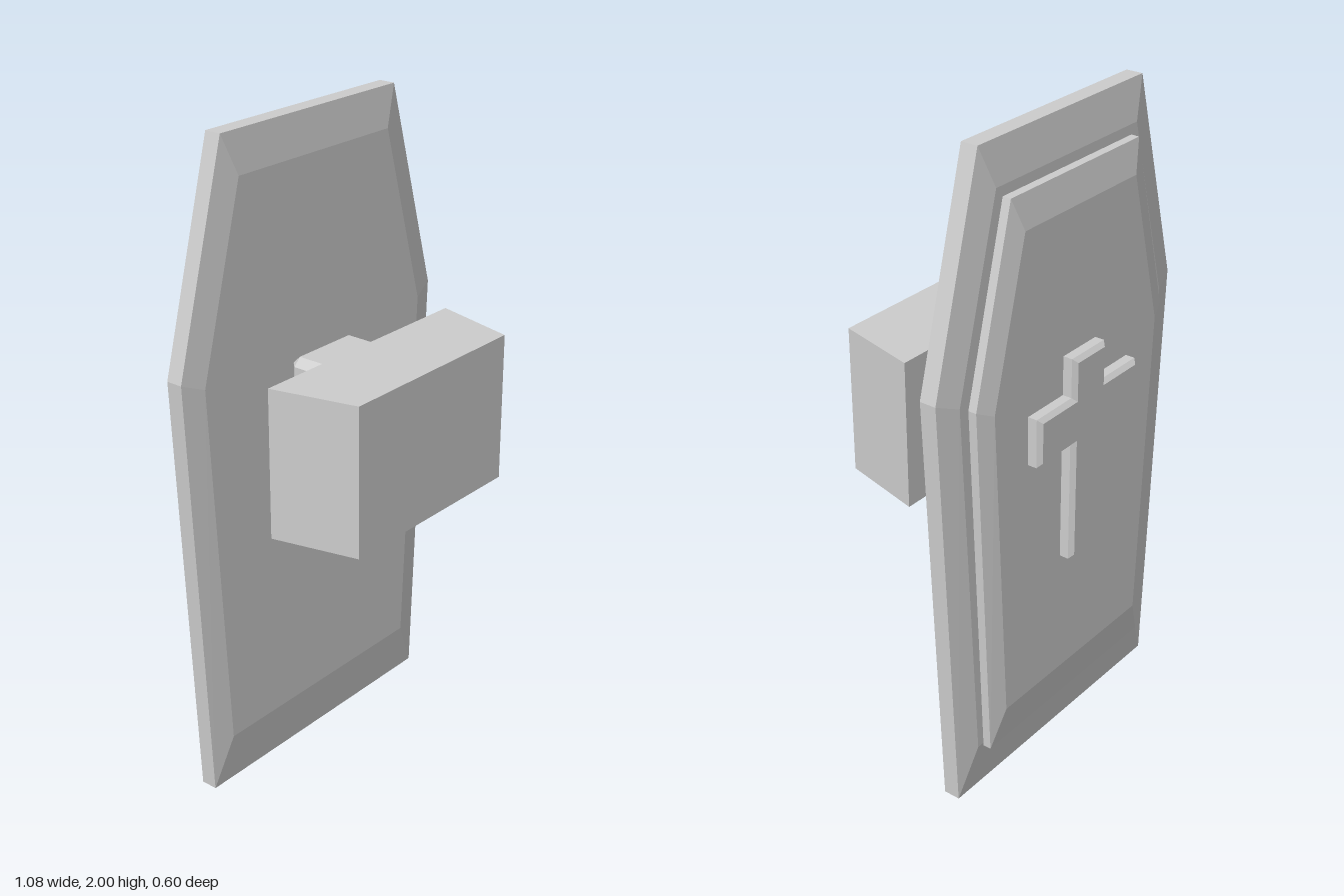
import * as THREE from 'three';
import { ConvexGeometry } from 'three/addons/geometries/ConvexGeometry.js';

const stone = new THREE.MeshStandardMaterial({ color: 0xcccccc });
stone.name = 'plain grey';

// Hexagonal coffin outline at depth z: [half width, height] of top, shoulder and foot
function coffinRing(top, shoulder, foot, z) {
  return [top, shoulder, foot].flatMap(([x, y]) => [
    new THREE.Vector3(x, y, z), new THREE.Vector3(-x, y, z),
  ]);
}

// Box with all edges cut by c, centred on the origin
function chamferBox(w, h, d, c) {
  const points = [];
  for (const sx of [-1, 1]) for (const sy of [-1, 1]) for (const sz of [-1, 1]) {
    const x = w / 2, y = h / 2, z = d / 2;
    for (const [px, py, pz] of [[x, y - c, z - c], [x - c, y, z - c], [x - c, y - c, z]]) {
      points.push(new THREE.Vector3(sx * px, sy * py, sz * pz));
    }
  }
  return new ConvexGeometry(points);
}

export function createModel() {
  const model = new THREE.Group();
  model.name = 'coffinPin';
  const add = (name, geometry) => {
    const mesh = new THREE.Mesh(geometry, stone);
    mesh.name = name;
    model.add(mesh);
    return mesh;
  };

  // Main slab, bevelled on both faces
  const outer = [[0.36, 2], [0.54, 1.35], [0.475, 0]];
  const inner = [[0.312, 1.88], [0.467, 1.32], [0.405, 0.16]];
  add('coffinSlab', new ConvexGeometry([
    ...coffinRing(...inner, -0.125), ...coffinRing(...outer, -0.142),
    ...coffinRing(...outer, -0.194), ...coffinRing(...inner, -0.214),
  ]));

  // Raised lid on the back
  const lidOuter = [[0.286, 1.85], [0.432, 1.3], [0.38, 0.15]];
  const lidInner = [[0.25, 1.755], [0.378, 1.275], [0.328, 0.275]];
  add('coffinLid', new ConvexGeometry([
    ...coffinRing(...lidOuter, -0.205), ...coffinRing(...lidOuter, -0.24),
    ...coffinRing(...lidInner, -0.259),
  ]));

  // Cross on the lid
  const b = 0.013;
  const half = [[0.075, 1.33], [0.075, 1.21], [0.233, 1.21], [0.233, 1.06], [0.075, 1.06], [0.075, 0.68]];
  const outline = [...half, ...half.map(([x, y]) => [-x, y]).reverse()];
  const crossShape = new THREE.Shape(outline.map(([x, y]) => new THREE.Vector2(x, y)));
  const cross = add('cross', new THREE.ExtrudeGeometry(crossShape, {
    depth: 0.036, bevelEnabled: true, bevelSegments: 1,
    bevelSize: b, bevelThickness: b, bevelOffset: -b,
  }));
  cross.position.z = -0.288;

  // Post joining the slab to the block
  add('post', chamferBox(0.264, 0.385, 0.162, 0.024)).position.set(0, 1.1175, -0.044);

  // Tapered block in front
  const blockShape = new THREE.Shape([
    new THREE.Vector2(-0.393, -0.037), new THREE.Vector2(-0.328, -0.299),
    new THREE.Vector2(0.328, -0.299), new THREE.Vector2(0.393, -0.037),
  ]);
  const block = add('block', new THREE.ExtrudeGeometry(blockShape, { depth: 0.455, bevelEnabled: false }));
  block.rotation.x = -Math.PI / 2;
  block.position.y = 0.89;

  return model;
}
